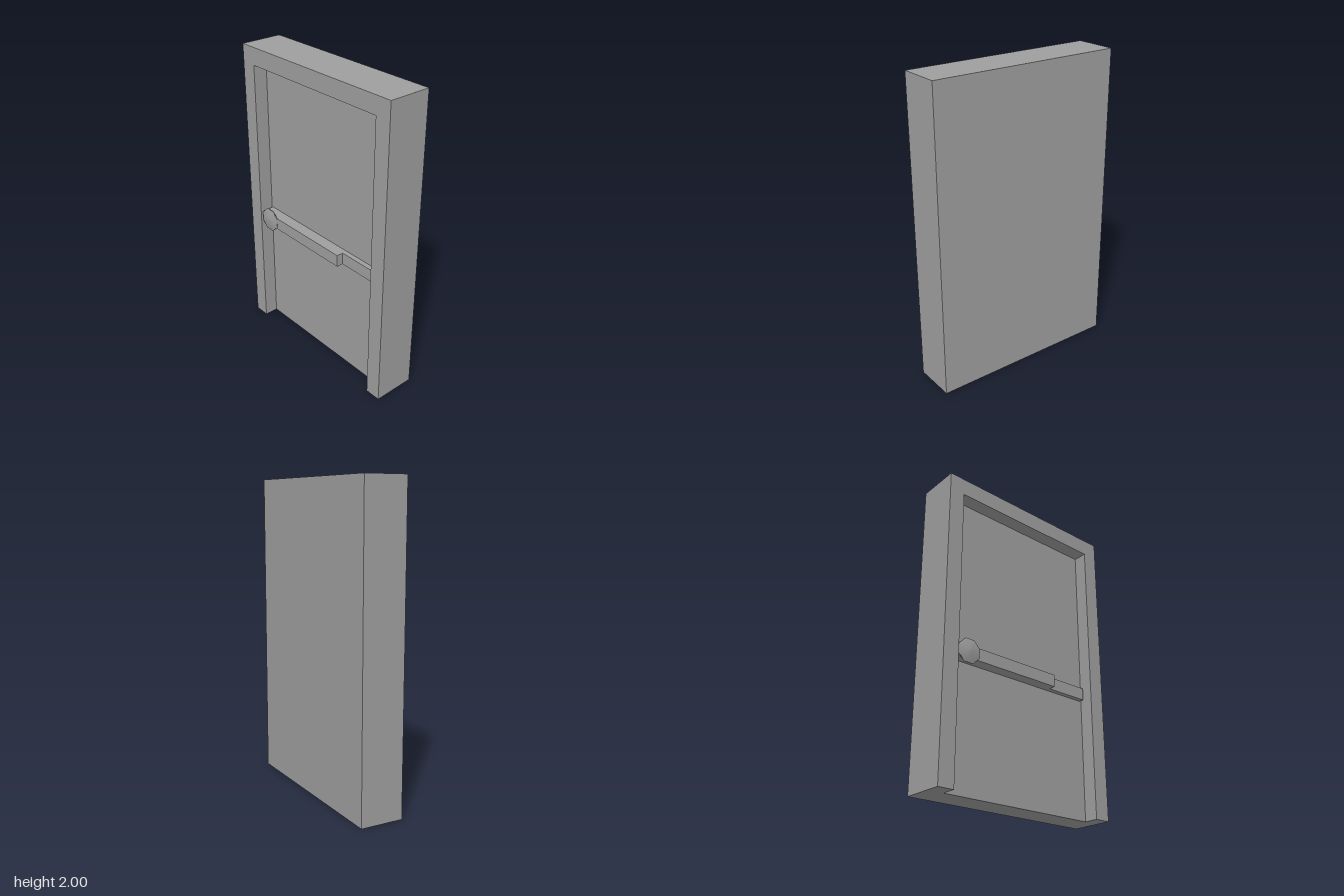
import * as THREE from 'three';

const material = new THREE.MeshStandardMaterial({ color: 0x9e9e9e });

const FRONT = 0.14;      // front plane of the frame
const LEAF = 0.047;      // front plane of the recessed door leaf
const BAR_FRONT = 0.125; // front plane of the push bar

function add(group, name, geometry) {
  const mesh = new THREE.Mesh(geometry, material);
  mesh.name = name;
  group.add(mesh);
  return mesh;
}

// Box given by its minimum and maximum corners
function boxBetween([x0, y0, z0], [x1, y1, z1]) {
  return new THREE.BoxGeometry(x1 - x0, y1 - y0, z1 - z0)
    .translate((x0 + x1) / 2, (y0 + y1) / 2, (z0 + z1) / 2);
}

export function createModel() {
  const door = new THREE.Group();
  door.name = 'door';

  // Frame: two jambs and a head, open at the floor
  const outline = [[-0.64, 0], [-0.535, 0], [-0.535, 1.887], [0.535, 1.887],
    [0.535, 0], [0.64, 0], [0.64, 2], [-0.64, 2]];
  const arch = new THREE.Shape(outline.map(([x, y]) => new THREE.Vector2(x, y)));
  add(door, 'frame', new THREE.ExtrudeGeometry(arch, { depth: 2 * FRONT, bevelEnabled: false })
    .translate(0, 0, -FRONT));

  // Leaf: recessed at the front, flush with the frame at the back
  add(door, 'leaf', boxBetween([-0.535, 0, -FRONT], [0.535, 1.887, LEAF]));

  // Push bar: a deep bar and a shallower rail beside it
  const pushBar = new THREE.Group();
  pushBar.name = 'pushBar';
  door.add(pushBar);
  add(pushBar, 'bar', boxBetween([-0.525, 0.79, LEAF], [0.225, 0.87, BAR_FRONT]));
  add(pushBar, 'rail', boxBetween([0.225, 0.79, LEAF], [0.523, 0.87, 0.08]));

  // Knob: a thin eight-sided plate on the bar, with a slightly domed face
  const profile = [[0, 0], [0.079, 0], [0.079, 0.012], [0, 0.02]];
  const knob = add(pushBar, 'knob', new THREE.LatheGeometry(
    profile.map(([r, h]) => new THREE.Vector2(r, h)), 8, Math.PI / 8));
  knob.rotation.x = Math.PI / 2;
  knob.position.set(-0.452, 0.832, FRONT - 0.02);

  return door;
}
